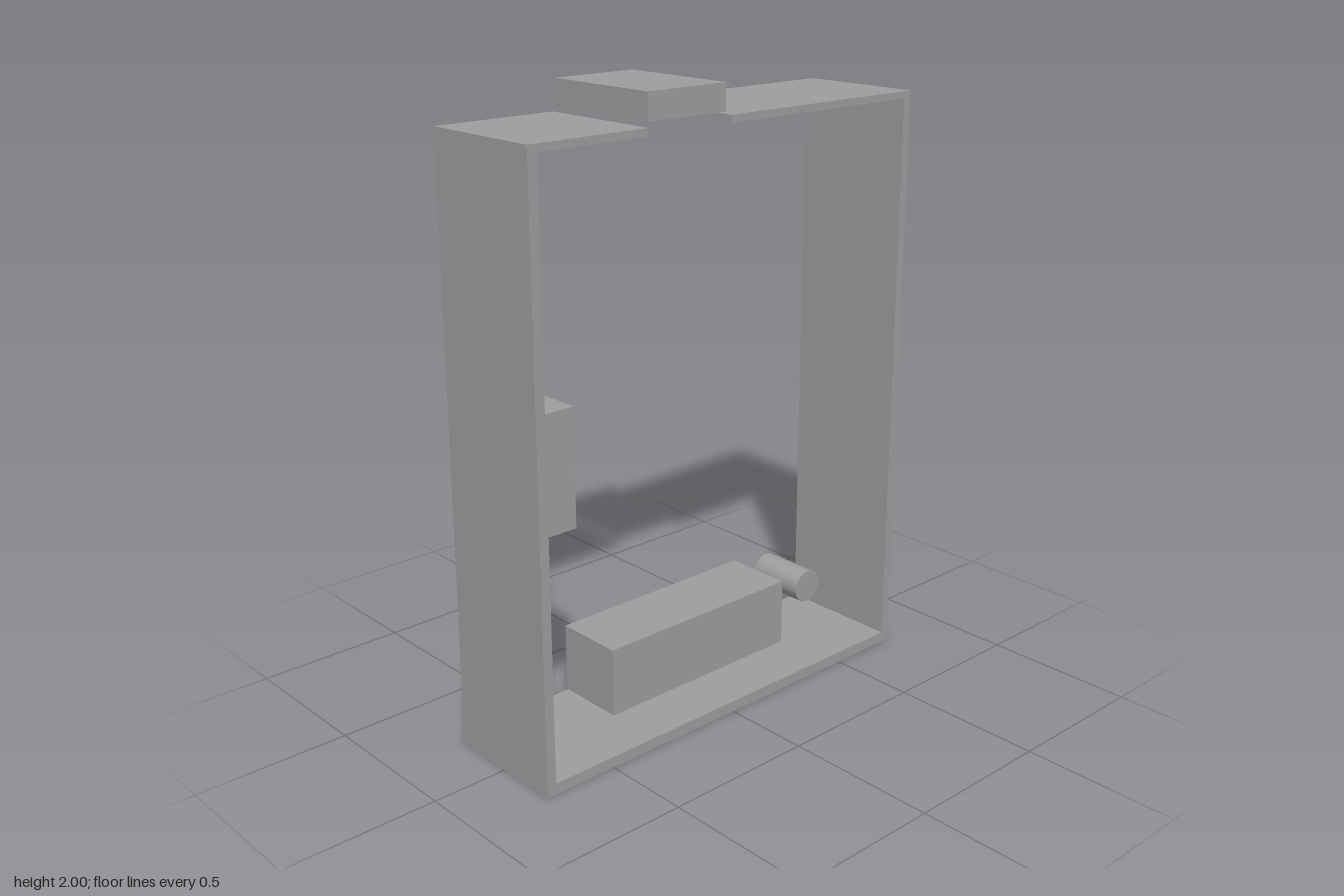
import * as THREE from 'three';

const material = new THREE.MeshStandardMaterial({ color: 0x9e9e9e });

function addMesh(group, name, geometry) {
  const mesh = new THREE.Mesh(geometry, material);
  mesh.name = name;
  group.add(mesh);
  return mesh;
}

// Box given by its extents along each axis
function addBlock(group, name, [x0, x1], [y0, y1], [z0, z1]) {
  const mesh = addMesh(group, name, new THREE.BoxGeometry(x1 - x0, y1 - y0, z1 - z0));
  mesh.position.set((x0 + x1) / 2, (y0 + y1) / 2, (z0 + z1) / 2);
}

export function createModel() {
  const model = new THREE.Group();
  model.name = 'openFrame';

  // Casing: a deep rectangular band with a gap in its top
  const outline = [
    [-0.34, 1.905], [-0.75, 1.905], [-0.75, 0], [0.75, 0], [0.75, 1.91], [-0.03, 1.91],
    [-0.03, 1.887], [0.72, 1.887], [0.72, 0.036], [-0.718, 0.036], [-0.718, 1.882], [-0.34, 1.882],
  ].map(([x, y]) => new THREE.Vector2(x, y));
  const casing = new THREE.ExtrudeGeometry(new THREE.Shape(outline), { depth: 0.42, bevelEnabled: false });
  addMesh(model, 'casing', casing.translate(0, 0, -0.21));

  // Cap floating over the gap
  addBlock(model, 'topCap', [-0.329, -0.035], [1.918, 2], [-0.212, 0.193]);

  // Blocks inside the casing, flush with the back
  addBlock(model, 'sideBlock', [-0.718, -0.531], [0.754, 1.127], [-0.212, 0.096]);
  addBlock(model, 'bottomBlock', [-0.343, 0.41], [0.038, 0.265], [-0.212, 0.023]);

  // Short round peg lying front to back
  const peg = addMesh(model, 'peg', new THREE.CylinderGeometry(0.057, 0.057, 0.203, 32));
  peg.rotation.x = Math.PI / 2;
  peg.position.set(0.569, 0.186, -0.1105);

  return model;
}
